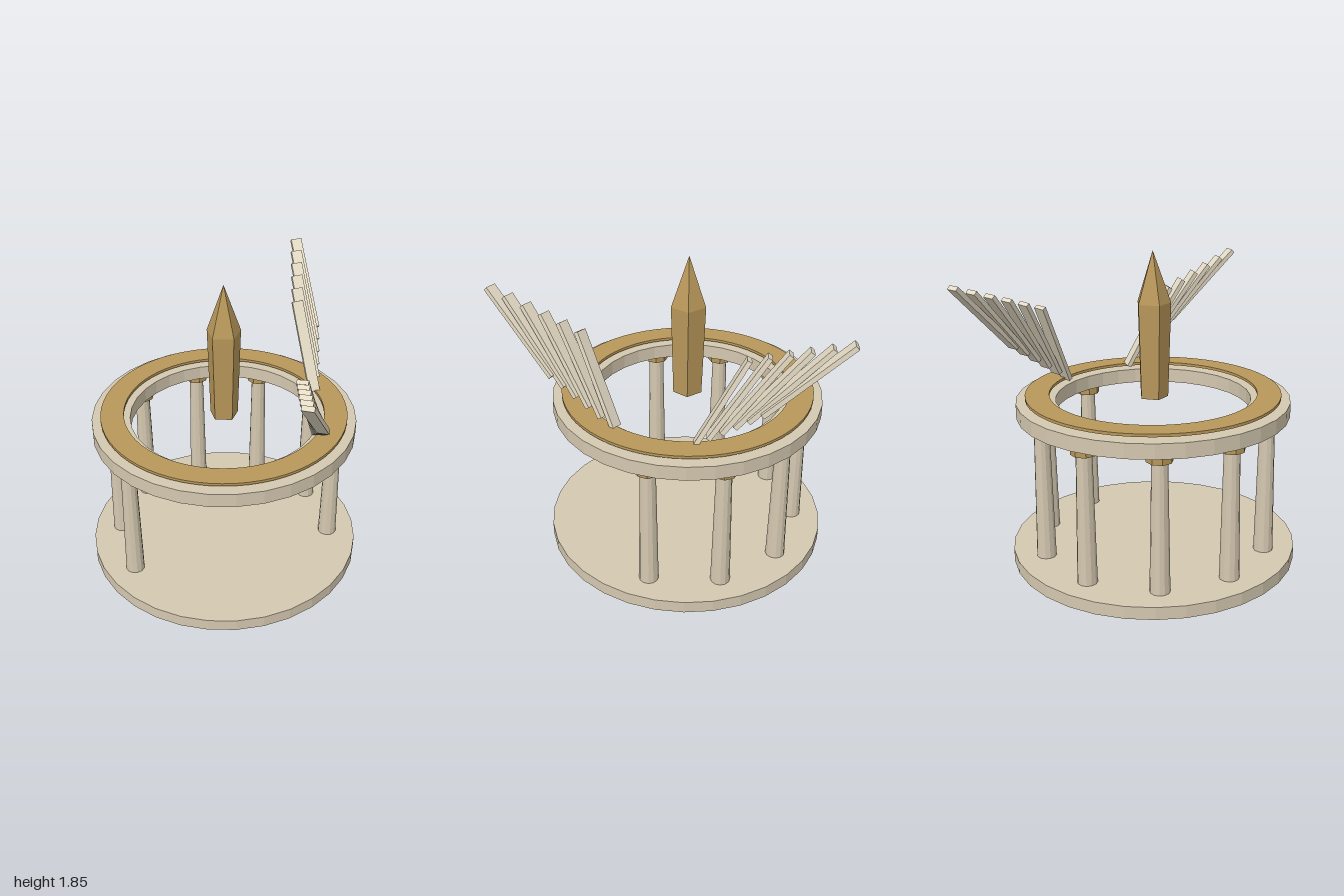
import * as THREE from 'three';

const stone = new THREE.MeshStandardMaterial({ color: 0xd4c8b0, flatShading: true });
const pale = new THREE.MeshStandardMaterial({ color: 0xe4dac4, flatShading: true });
const gold = new THREE.MeshStandardMaterial({ color: 0xb8975a, flatShading: true });

function add(parent, name, geometry, material, x = 0, y = 0, z = 0) {
  const mesh = new THREE.Mesh(geometry, material);
  mesh.name = name;
  mesh.position.set(x, y, z);
  parent.add(mesh);
  return mesh;
}

// Flat ring with a rectangular section
function ringGeometry(inner, outer, y0, y1, sides) {
  const profile = [[inner, y0], [outer, y0], [outer, y1], [inner, y1], [inner, y0]];
  return new THREE.LatheGeometry(profile.map(p => new THREE.Vector2(...p)), sides);
}

// Fan of six slats; side = 1 or -1 mirrors it in z
function makeFan(side) {
  const fan = new THREE.Group();
  fan.name = side > 0 ? 'frontFan' : 'backFan';
  const count = 6;
  for (let i = 0; i < count; i++) {
    const t = i / (count - 1);
    const mix = (a, b) => THREE.MathUtils.lerp(a, b, t);
    const low = new THREE.Vector3(0.56, mix(1.01, 1.27), side * mix(0.235, 0.595));
    const high = new THREE.Vector3(0.44, mix(1.51, 1.69), side * mix(0.482, 1.02));
    const along = high.clone().sub(low);
    const length = along.length();
    along.normalize();
    const across = new THREE.Vector3(0.973, 0, side * 0.23);
    across.addScaledVector(along, -across.dot(along)).normalize();
    const normal = across.clone().cross(along);
    const slat = add(fan, 'slat', new THREE.BoxGeometry(0.068, length, 0.028), pale);
    slat.position.copy(low).lerp(high, 0.5);
    slat.quaternion.setFromRotationMatrix(new THREE.Matrix4().makeBasis(across, along, normal));
  }
  return fan;
}

export function createModel() {
  const model = new THREE.Group();
  model.name = 'pavilion';
  const body = new THREE.Group();
  body.name = 'body';
  body.position.z = -0.14;
  model.add(body);

  // Base and upper rings
  add(body, 'base', new THREE.CylinderGeometry(0.857, 0.857, 0.075, 32), stone, 0, 0.0375, 0);
  add(body, 'upperRing', ringGeometry(0.573, 0.805, 0.9, 0.987, 32), stone);
  add(body, 'goldRing', ringGeometry(0.61, 0.75, 1.003, 1.02, 64), gold);

  // Seven columns on a ten-part circle, open at the front
  const shaft = new THREE.CylinderGeometry(0.045, 0.058, 0.775, 12);
  const capital = new THREE.CylinderGeometry(0.075, 0.075, 0.055, 8);
  for (let k = -3; k <= 3; k++) {
    const angle = k * Math.PI / 5;
    const column = new THREE.Group();
    column.name = 'column';
    column.position.set(0.68 * Math.sin(angle), 0, -0.68 * Math.cos(angle));
    add(column, 'shaft', shaft, stone, 0, 0.4625, 0);
    add(column, 'capital', capital, gold, 0, 0.8725, 0);
    body.add(column);
  }

  // Floating five-sided crystal
  const turn = Math.PI / 2;
  add(body, 'crystalShaft', new THREE.CylinderGeometry(0.105, 0.088, 0.56, 5, 1, false, turn), gold, 0, 1.265, 0);
  add(body, 'crystalTip', new THREE.ConeGeometry(0.105, 0.3, 5, 1, false, turn), gold, 0, 1.695, 0);

  // Two mirrored fans, turned together about the centre
  const fans = new THREE.Group();
  fans.name = 'fans';
  fans.rotation.y = -Math.PI / 10;
  fans.add(makeFan(1), makeFan(-1));
  body.add(fans);

  return model;
}
